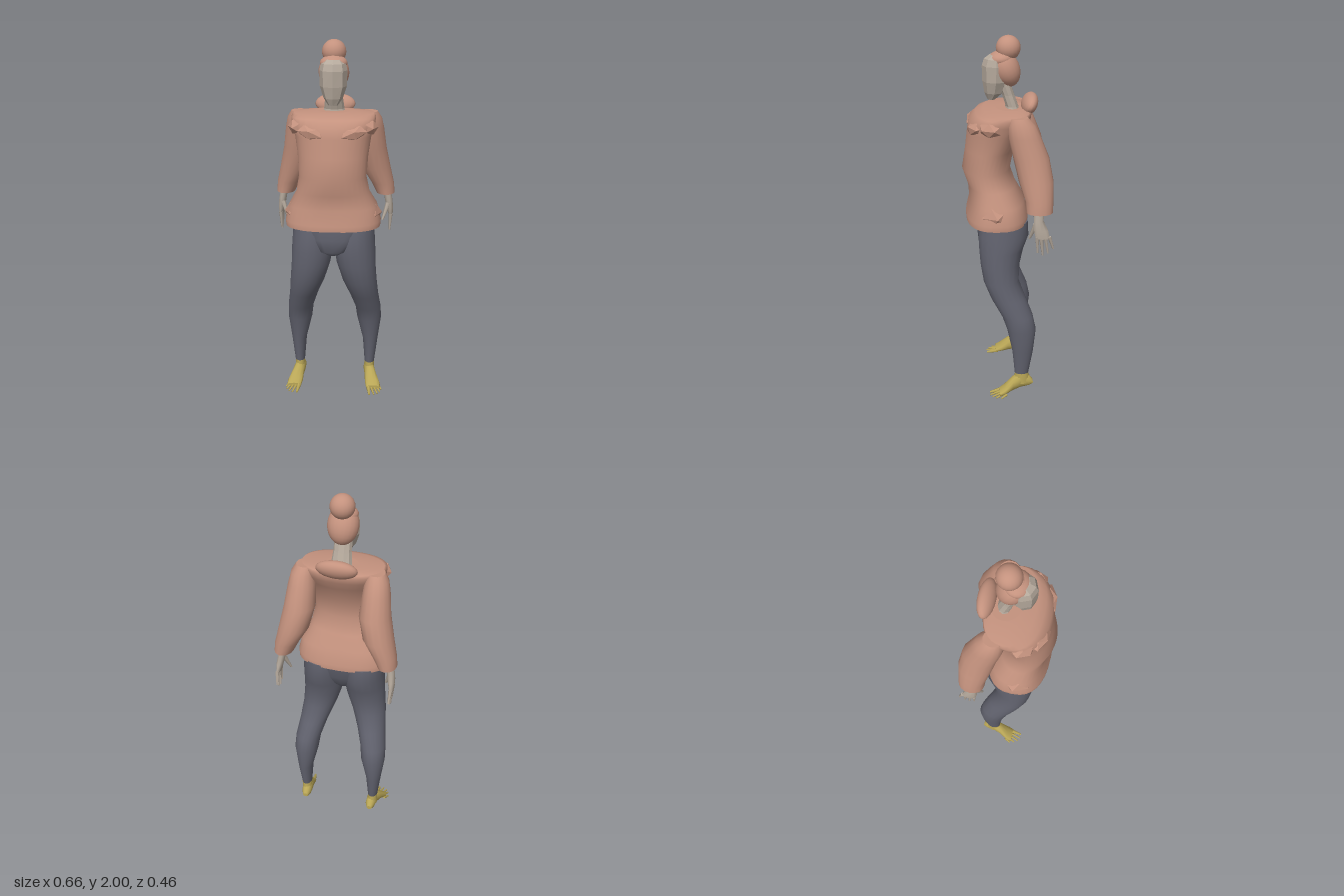
import * as THREE from 'three';

const mat = (name, color) => {
  const m = new THREE.MeshStandardMaterial({ color });
  m.name = name;
  return m;
};

// Skin over horizontal rings, lowest first:
// [y, centreX, centreZ, radiusX, radiusZ, squareness (2 is an ellipse)]
function loft(rings, sides = 20, flat = false) {
  const pos = [], idx = [];
  const ring = ([y, x, z, rx, rz, e = 2]) => {
    const bulge = (v) => Math.sign(v) * Math.abs(v) ** (2 / e);
    for (let i = 0; i < sides; i++) {
      const a = (i / sides) * Math.PI * 2;
      pos.push(x + rx * bulge(Math.cos(a)), y, z + rz * bulge(Math.sin(a)));
    }
  };
  rings.forEach(ring);
  for (let r = 0; r < rings.length - 1; r++)
    for (let i = 0; i < sides; i++) {
      const j = (i + 1) % sides, a = r * sides + i, b = r * sides + j;
      idx.push(a, a + sides, b, b, a + sides, b + sides);
    }
  // End caps with their own corners, so the rims stay sharp
  [rings[0], rings[rings.length - 1]].forEach((r, end) => {
    const start = pos.length / 3;
    ring(r);
    pos.push(r[1], r[0], r[2]);
    for (let i = 0; i < sides; i++) {
      const a = start + i, b = start + ((i + 1) % sides), c = start + sides;
      if (end) idx.push(a, c, b); else idx.push(a, b, c);
    }
  });
  let g = new THREE.BufferGeometry();
  g.setAttribute('position', new THREE.Float32BufferAttribute(pos, 3));
  g.setIndex(idx);
  if (flat) g = g.toNonIndexed();
  g.computeVertexNormals();
  return g;
}

// Ring from a front and a back depth
const span = (y, rx, front, back, e) => [y, 0, (front + back) / 2, rx, (front - back) / 2, e];

// Tapered digit between two points
function digit(from, to, r0, r1) {
  const a = new THREE.Vector3(...from), d = new THREE.Vector3(...to).sub(a);
  const g = new THREE.CylinderGeometry(r1, r0, d.length(), 6);
  g.translate(0, d.length() / 2, 0);
  g.applyQuaternion(new THREE.Quaternion().setFromUnitVectors(
    new THREE.Vector3(0, 1, 0), d.normalize()));
  return g.translate(a.x, a.y, a.z);
}

export function createModel() {
  const model = new THREE.Group();
  model.name = 'standingFigure';
  const clay = mat('clay', 0xc4927e), slate = mat('slate', 0x62636f);
  const skin = mat('skin', 0xb5a99c), ochre = mat('ochre', 0xb9a656);
  const add = (name, geometry, material) => {
    const m = new THREE.Mesh(geometry, material);
    m.name = name;
    model.add(m);
    return m;
  };
  const blob = (name, geometry, material, p, s, rot = [0, 0, 0]) => {
    const m = add(name, geometry, material);
    m.position.set(...p);
    m.scale.set(...s);
    m.rotation.set(...rot);
  };
  const ball = new THREE.SphereGeometry(1, 20, 14);
  const facet = new THREE.IcosahedronGeometry(1, 0);

  // Sweater body
  add('sweater', loft([
    span(1.03, 0.255, 0.213, -0.12, 2.5), span(1.06, 0.257, 0.213, -0.12, 2.5),
    span(1.14, 0.238, 0.194, -0.098, 2.5), span(1.22, 0.195, 0.2, -0.055, 2.2),
    span(1.31, 0.178, 0.23, -0.025), span(1.42, 0.185, 0.212, -0.045),
    span(1.52, 0.2, 0.2, -0.095, 2.2), span(1.575, 0.218, 0.19, -0.13, 2.4),
    span(1.61, 0.222, 0.155, -0.135, 2.4), span(1.625, 0.212, 0.115, -0.13, 2.3),
    span(1.632, 0.09, 0.05, -0.11),
  ], 32), clay);
  blob('hood', ball, clay, [0, 1.65, -0.127], [0.108, 0.056, 0.04], [-0.5, 0, 0]);

  // Pelvis
  add('hips', loft([
    span(0.86, 0.05, 0.11, -0.03), span(0.89, 0.09, 0.148, -0.055, 3),
    span(0.96, 0.15, 0.157, -0.095, 3), span(1.04, 0.2, 0.153, -0.11, 2.6),
  ], 24), slate);

  // Head
  add('neck', loft([
    [1.6, 0, -0.04, 0.07, 0.045], [1.64, 0, -0.035, 0.054, 0.034],
    [1.7, 0, -0.015, 0.047, 0.033], [1.77, 0, 0.01, 0.047, 0.035],
  ], 10, true), skin);
  add('face', loft([
    [1.675, 0, 0.07, 0.025, 0.022], [1.71, 0, 0.057, 0.05, 0.05],
    [1.77, 0, 0.05, 0.07, 0.067], [1.85, 0, 0.048, 0.072, 0.071],
    [1.885, 0, 0.045, 0.064, 0.062], [1.905, 0, 0.035, 0.045, 0.045],
  ], 8, true), skin);
  blob('hair', ball, clay, [0, 1.834, -0.001], [0.08, 0.1, 0.072], [0.45, 0, 0]);
  blob('hairTop', ball, clay, [0, 1.884, 0.021], [0.071, 0.04, 0.066], [0.1, 0, 0]);
  blob('hairBun', ball, clay, [0, 1.937, -0.016], [0.063, 0.063, 0.063]);

  for (const [side, s] of [['left', 1], ['right', -1]]) {
    const m = (rings) => rings.map(([y, x, z, rx, rz]) => [y, x * s, z, rx, rz]);
    const p = (x, y, z) => [x * s, y, z];

    // Sleeve
    add(side + 'Sleeve', loft(m([
      [1.15, 0.28, -0.16, 0.051, 0.068], [1.21, 0.262, -0.158, 0.063, 0.073],
      [1.3, 0.225, -0.145, 0.08, 0.089], [1.42, 0.198, -0.12, 0.082, 0.092],
      [1.53, 0.195, -0.085, 0.07, 0.083], [1.59, 0.192, -0.07, 0.06, 0.07],
      [1.625, 0.185, -0.055, 0.045, 0.05],
    ]), 16), clay);

    // Creased folds at the chest, shoulder and hem
    blob(side + 'ChestFold', facet, clay, p(0.108, 1.548, 0.16), [0.08, 0.038, 0.04], [0.2, 0.35 * s, 0.12 * s]);
    blob(side + 'ShoulderFold', facet, clay, p(0.19, 1.565, 0.085), [0.042, 0.042, 0.065], [0, -0.4 * s, 0]);
    blob(side + 'HemFold', facet, clay, p(0.205, 1.1, 0.075), [0.052, 0.062, 0.08], [0, -0.4 * s, 0]);

    // Hand
    add(side + 'Hand', loft(m([
      [1.015, 0.311, -0.175, 0.012, 0.038], [1.06, 0.306, -0.165, 0.019, 0.038],
      [1.11, 0.298, -0.153, 0.021, 0.026], [1.2, 0.283, -0.155, 0.022, 0.028],
    ]), 10), skin);
    for (let i = 0; i < 4; i++) {
      const z = -0.145 - i * 0.021;
      add(side + 'Finger' + (i + 1), digit(p(0.311, 1.025, z),
        p(0.307, [0.935, 0.92, 0.93, 0.955][i], z - 0.004 - i * 0.006), 0.011, 0.005), skin);
    }
    add(side + 'Thumb', digit(p(0.296, 1.09, -0.14), p(0.265, 1.0, -0.11), 0.015, 0.006), skin);

    // Trouser leg
    add(side + 'Leg', loft(m([
      [0.135, 0.205, -0.08, 0.028, 0.039], [0.28, 0.208, -0.085, 0.043, 0.058],
      [0.42, 0.2, -0.078, 0.069, 0.08], [0.5, 0.193, -0.056, 0.072, 0.085],
      [0.6, 0.17, -0.008, 0.08, 0.094], [0.7, 0.145, 0.032, 0.095, 0.096],
      [0.8, 0.125, 0.036, 0.107, 0.108], [0.88, 0.117, 0.03, 0.113, 0.12],
      [0.96, 0.114, 0.016, 0.111, 0.135], [1.04, 0.112, 0.01, 0.108, 0.125],
    ]), 18), slate);

    // Foot, lofted from heel to ball and laid flat
    add(side + 'Foot', loft(m([
      [-0.145, 0.2, -0.065, 0.015, 0.012], [-0.12, 0.2, -0.077, 0.028, 0.035],
      [-0.075, 0.203, -0.084, 0.031, 0.05], [-0.03, 0.213, -0.065, 0.034, 0.042],
      [0.015, 0.226, -0.035, 0.043, 0.024], [0.045, 0.231, -0.022, 0.041, 0.012],
    ]), 12).rotateX(Math.PI / 2), ochre);
    add(side + 'Ankle', loft(m([
      [0.07, 0.204, -0.082, 0.031, 0.045], [0.14, 0.205, -0.08, 0.026, 0.037],
    ]), 12), ochre);
    [[0.21, 0.1], [0.236, 0.1], [0.256, 0.088], [0.27, 0.068], [0.278, 0.04]].forEach(([x, z], i) =>
      add(side + 'Toe' + (i + 1), digit(p(0.203 + i * 0.014, 0.02, 0.035 - i * 0.007),
        p(x, 0.006, z), i ? 0.009 : 0.013, i ? 0.004 : 0.006), ochre));
  }
  return model;
}
